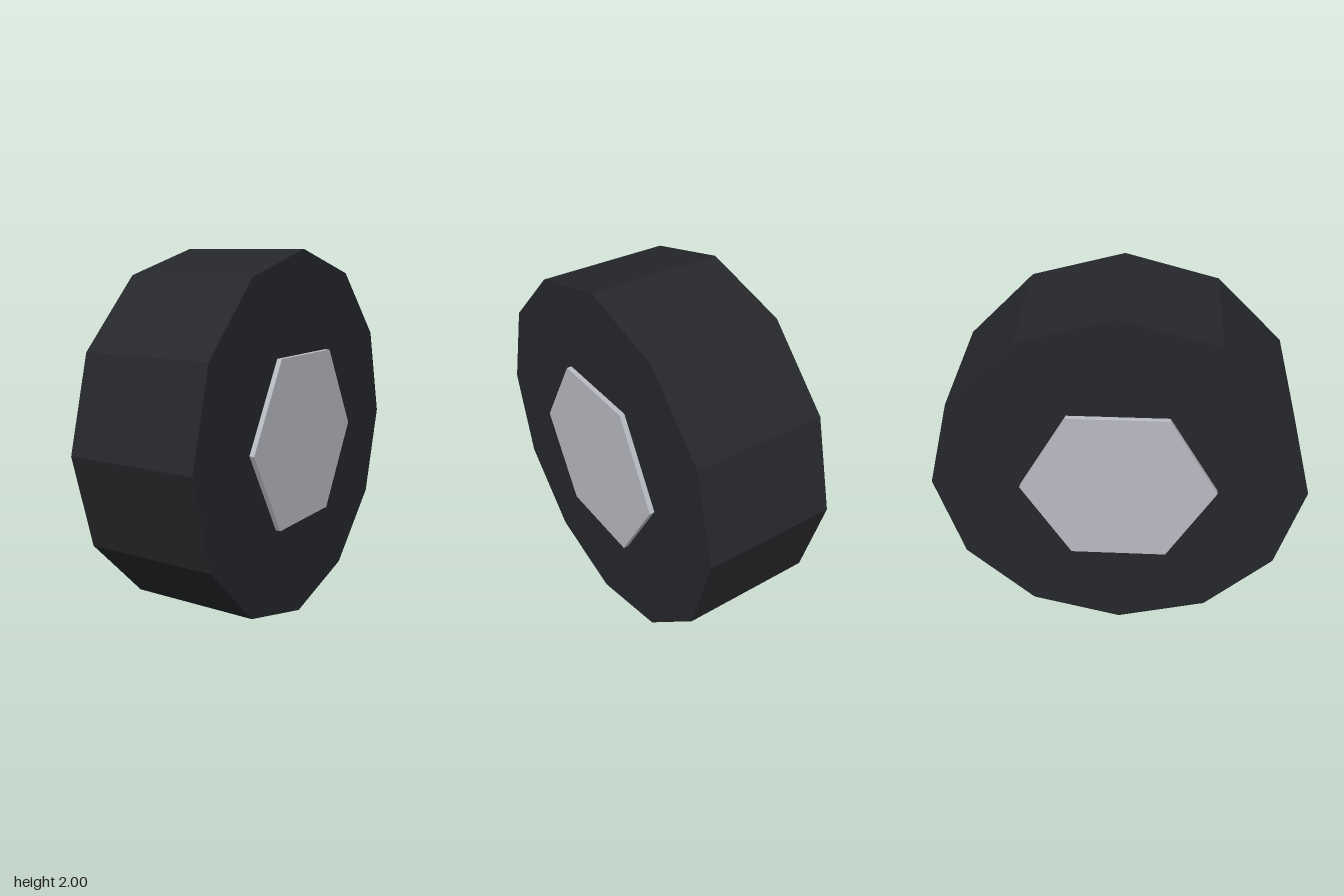
import * as THREE from 'three';

// Prism lying along x, with a corner pointing to +z
function prism(name, radius, width, sides, color) {
  const geometry = new THREE.CylinderGeometry(radius, radius, width, sides);
  geometry.rotateZ(Math.PI / 2);
  const mesh = new THREE.Mesh(geometry, new THREE.MeshStandardMaterial({ color, flatShading: true }));
  mesh.name = name;
  return mesh;
}

export function createModel() {
  const wheel = new THREE.Group();
  wheel.name = 'wheel';

  // Twelve-sided tyre
  wheel.add(prism('tyre', 1, 0.735, 12, 0x26272b));

  // Six-sided hub passing through the tyre, slightly proud on both sides
  wheel.add(prism('hub', 0.525, 0.79, 6, 0xb9bbc3));

  for (const part of wheel.children) part.position.y = 1;
  return wheel;
}
